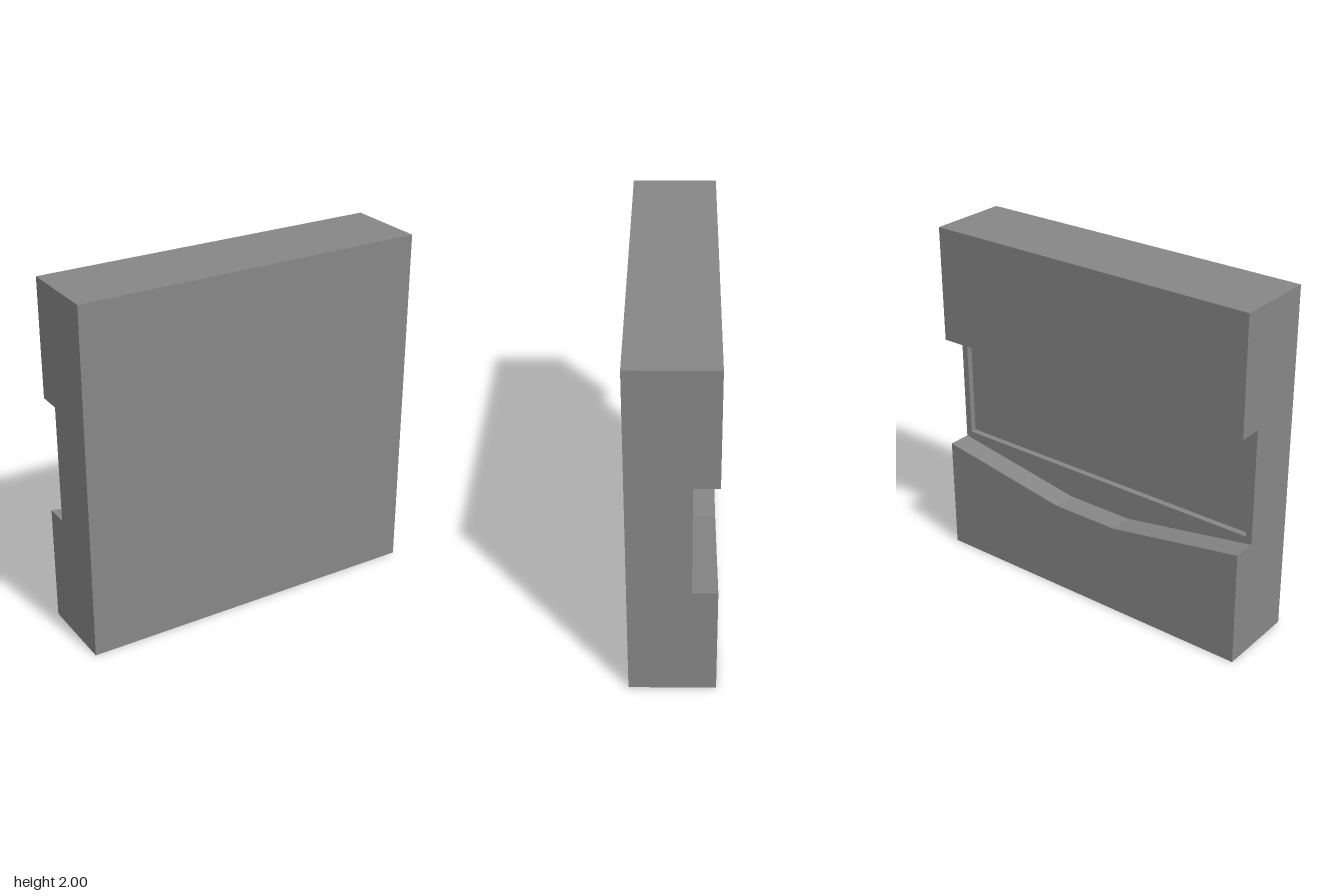
import * as THREE from 'three';

const FRONT = 0.233, BACK = -0.233, CHANNEL = -0.1, PANEL = -0.065;
const LOW = 0.667, HIGH = 1.333, BORDER = 0.037;

export function createModel() {
  const group = new THREE.Group();
  const material = new THREE.MeshStandardMaterial({ color: 0x878787, flatShading: true });

  const shapeOf = (points) => new THREE.Shape(points.map(([x, y]) => new THREE.Vector2(x, y)));
  const rect = (x, y0, y1) => [[-x, y0], [x, y0], [x, y1], [-x, y1]];

  // Extrudes an outline in x and y between two depths
  function layer(name, points, z0, z1, hole) {
    const shape = shapeOf(points);
    if (hole) shape.holes.push(shapeOf(hole));
    const geometry = new THREE.ExtrudeGeometry(shape, { depth: z1 - z0, bevelEnabled: false });
    geometry.translate(0, 0, z0);
    const mesh = new THREE.Mesh(geometry, material);
    mesh.name = name;
    group.add(mesh);
  }

  // Solid front slab; its rear face is the floor of the recess
  layer('frontSlab', rect(1, 0, 2), PANEL, FRONT);

  // Channel floor with a shallow rectangular recess
  layer('recessFrame', rect(1, 0, 2), CHANNEL, PANEL,
    rect(1 - BORDER, LOW + BORDER, HIGH - BORDER));

  // Raised rear block above the channel
  layer('upperBlock', rect(1, HIGH, 2), BACK, CHANNEL);

  // Raised rear block below the channel, its top edge dipping in the middle
  layer('lowerBlock',
    [[-1, 0], [1, 0], [1, LOW], [0.2, 0.53], [-0.2, 0.53], [-1, LOW]], BACK, CHANNEL);

  return group;
}
